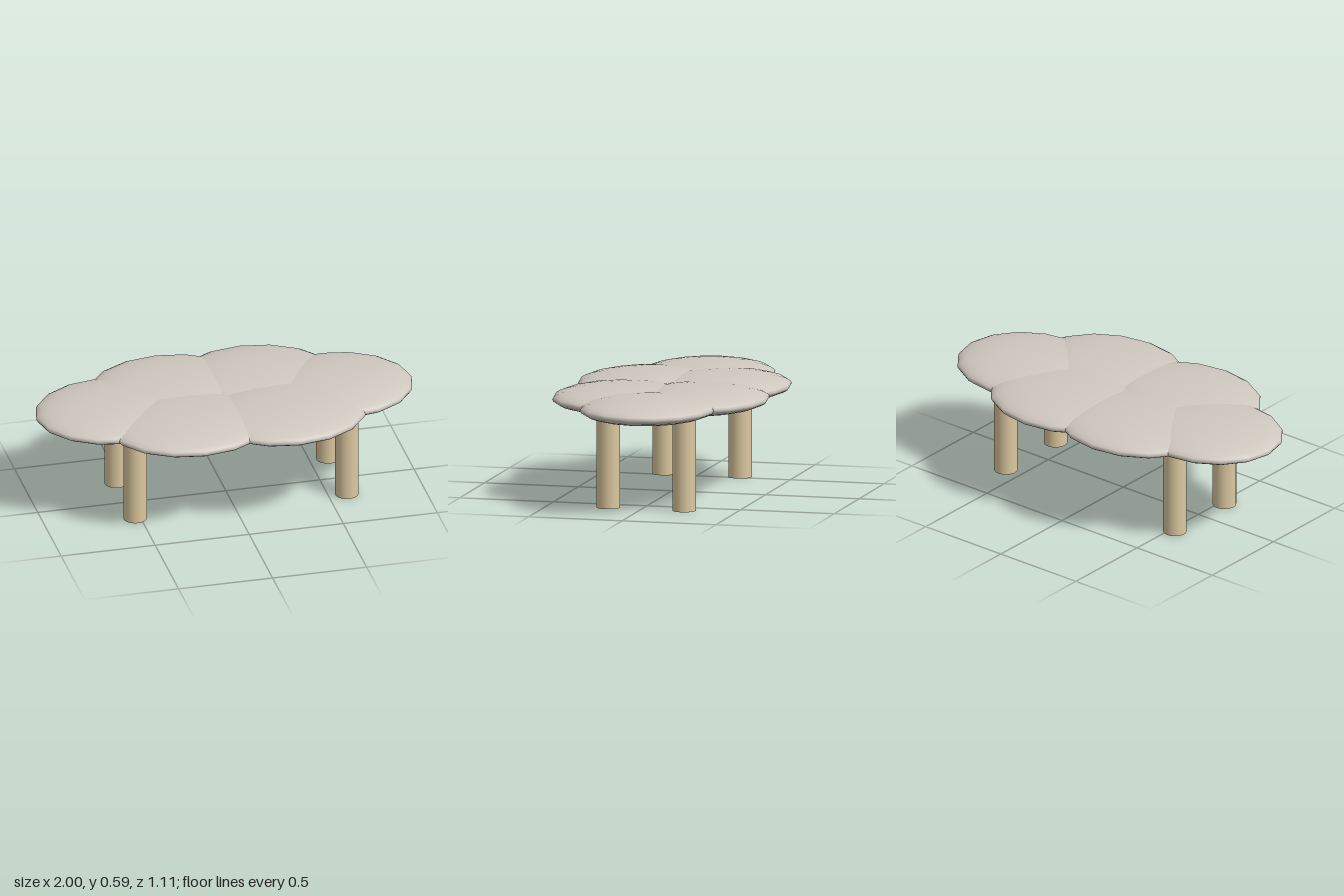
import * as THREE from 'three';

export function createModel() {
  const model = new THREE.Group();
  model.name = 'cloudTable';

  const stone = new THREE.MeshStandardMaterial({ color: 0xcfc8bf });
  stone.name = 'warm grey';
  const wood = new THREE.MeshStandardMaterial({ color: 0xdcc8a0 });
  wood.name = 'pale wood';

  // Table top: overlapping flattened spheres [name, x, z, radiusX, radiusZ]
  const top = new THREE.Group();
  top.name = 'tableTop';
  const lobes = [
    ['rightLobe', -0.6, -0.03, 0.4, 0.35],
    ['leftLobe', 0.595, -0.03, 0.4, 0.35],
    ['backRightLobe', -0.243, -0.2, 0.43, 0.36],
    ['backLeftLobe', 0.206, -0.2, 0.43, 0.36],
    ['frontRightLobe', -0.243, 0.193, 0.43, 0.36],
    ['frontLeftLobe', 0.262, 0.193, 0.43, 0.36],
  ];
  const lobeGeometry = new THREE.SphereGeometry(1, 16, 16);
  for (const [name, x, z, rx, rz] of lobes) {
    const lobe = new THREE.Mesh(lobeGeometry, stone);
    lobe.name = name;
    lobe.position.set(x, 0.523, z);
    lobe.scale.set(rx, 0.065, rz);
    top.add(lobe);
  }
  model.add(top);

  // Four round legs, sunk into the underside of the top
  const legHeight = 0.5;
  const legGeometry = new THREE.CylinderGeometry(0.061, 0.061, legHeight, 24);
  for (const [side, x] of [['Right', -0.527], ['Left', 0.598]]) {
    for (const [end, z] of [['front', 0.18], ['back', -0.225]]) {
      const leg = new THREE.Mesh(legGeometry, wood);
      leg.name = `${end}${side}Leg`;
      leg.position.set(x, legHeight / 2, z);
      model.add(leg);
    }
  }

  return model;
}
